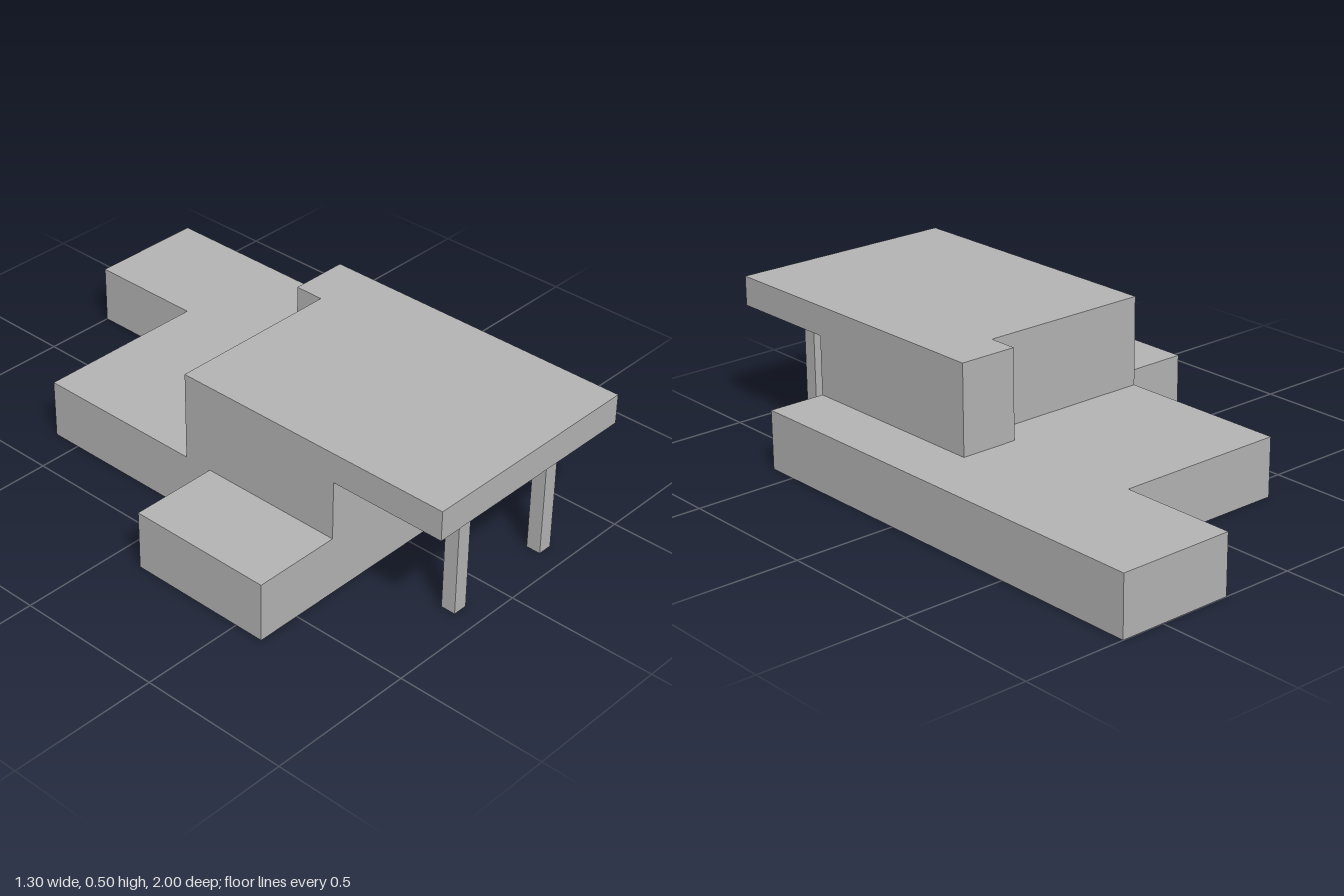
import * as THREE from 'three';

export function createModel() {
  const group = new THREE.Group();
  const grey = new THREE.MeshStandardMaterial({ color: 0xb4b4b4 });
  grey.name = 'light grey';

  // Extrudes an [x, z] floor outline between two heights.
  function slab(name, outline, bottom, top) {
    const shape = new THREE.Shape(outline.map(([x, z]) => new THREE.Vector2(x, -z)));
    const geometry = new THREE.ExtrudeGeometry(shape, { depth: top - bottom, bevelEnabled: false });
    geometry.rotateX(-Math.PI / 2).translate(0, bottom, 0);
    const mesh = new THREE.Mesh(geometry, grey);
    mesh.name = name;
    group.add(mesh);
  }

  // Ground floor with a side wing and a long rear wing
  slab('groundFloor', [
    [-0.65, 0.6], [0.65, 0.6], [0.65, -1], [0.25, -1],
    [0.25, -0.6], [-0.35, -0.6], [-0.35, 0.1], [-0.65, 0.1],
  ], 0, 0.2);

  // Upper floor and its roof, which runs forward as a canopy
  const upperOutline = (front) => [
    [-0.35, front], [0.45, front], [0.45, -0.1], [0.25, -0.1], [0.25, 0], [-0.35, 0],
  ];
  slab('upperFloor', upperOutline(0.6), 0.2, 0.4);
  slab('canopyRoof', upperOutline(1), 0.4, 0.5);

  // Two square posts under the canopy
  for (const [name, x] of [['rightPost', -0.15], ['leftPost', 0.25]]) {
    const post = new THREE.Mesh(new THREE.BoxGeometry(0.05, 0.4, 0.05), grey);
    post.name = name;
    post.position.set(x, 0.2, 0.9);
    group.add(post);
  }

  return group;
}
